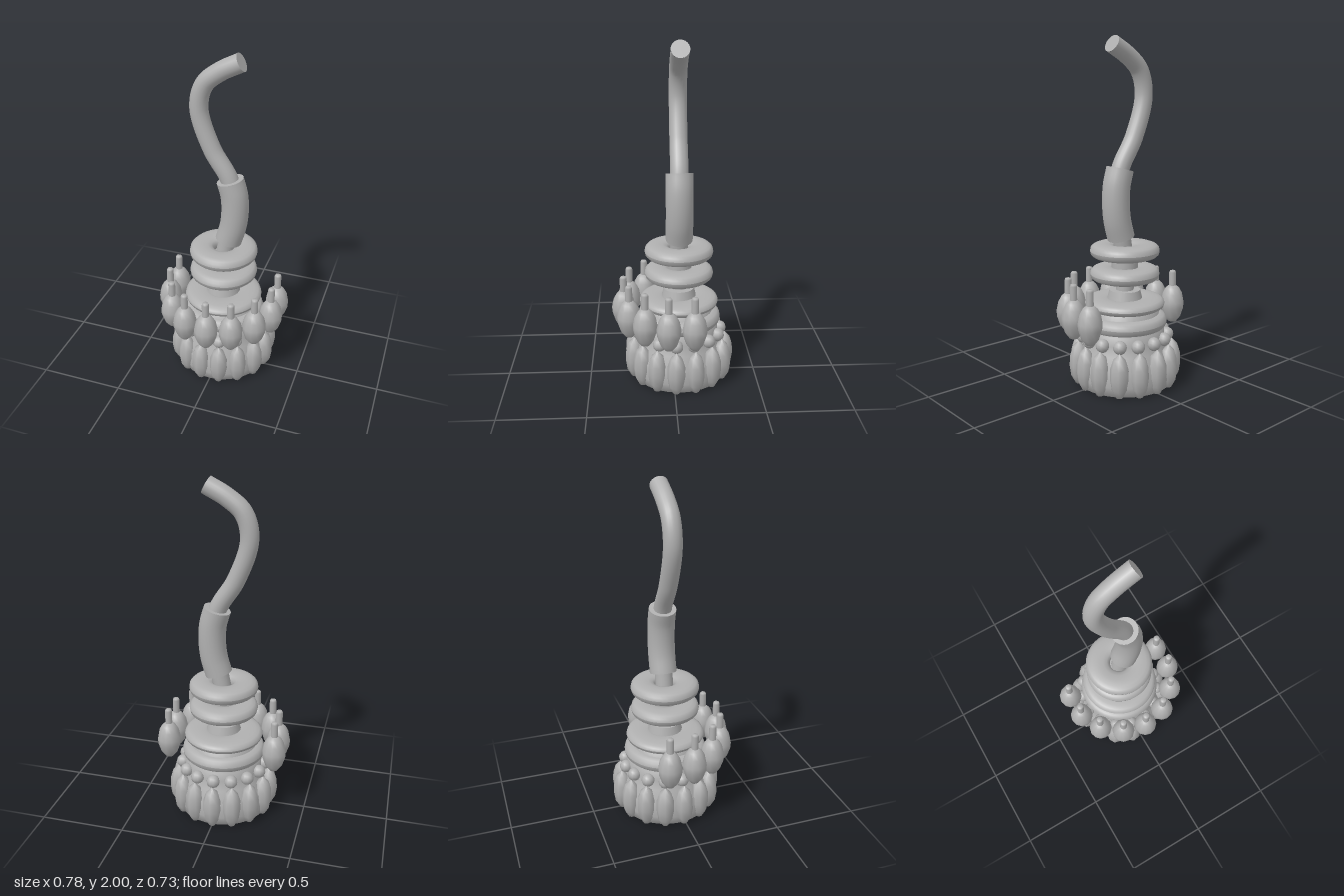
import * as THREE from 'three';

export function createModel() {
  const metal = new THREE.MeshStandardMaterial({ color: 0xb0b0b0 });
  metal.name = 'grey';
  const model = new THREE.Group();
  model.name = 'model';
  const axis = new THREE.Group();
  axis.name = 'body';
  axis.position.z = -0.037;
  model.add(axis);

  const add = (name, geometry, x = 0, y = 0, z = 0) => {
    const mesh = new THREE.Mesh(geometry, metal);
    mesh.name = name;
    mesh.position.set(x, y, z);
    axis.add(mesh);
    return mesh;
  };
  const lathe = (points, sides) =>
    new THREE.LatheGeometry(points.map(([r, y]) => new THREE.Vector2(r, y)), sides);

  // Swollen ring with a rounded, slightly squared section
  const ring = (name, y, inner, outer, half) => {
    const points = [];
    const squash = (v) => Math.sign(v) * Math.abs(v) ** 0.8;
    for (let i = 0; i <= 16; i++) {
      const t = (i / 16) * Math.PI * 2;
      points.push([(inner + outer) / 2 + ((outer - inner) / 2) * squash(Math.cos(t)), half * squash(Math.sin(t))]);
    }
    add(name, lathe(points, 40), 0, y);
  };

  // Hollow base, open underneath
  add('base', lathe([
    [0, 0.22], [0.11, 0.2], [0.13, 0.06], [0.17, 0.03], [0.25, 0.003], [0.275, 0.003],
    [0.29, 0.06], [0.285, 0.15], [0.25, 0.22], [0.235, 0.28], [0.23, 0.33], [0.2, 0.36],
    [0.2, 0.48], [0.1, 0.5], [0, 0.5]], 40));

  // Petals and beads around the base
  const petal = lathe([[0, 0], [0.02, 0.002], [0.046, 0.05], [0.055, 0.11], [0.052, 0.17], [0.035, 0.225], [0, 0.26]], 8);
  const bead = new THREE.SphereGeometry(0.039, 10, 8);
  for (let i = 0; i < 15; i++) {
    const a = Math.PI + (i * Math.PI * 2) / 15;
    const s = Math.sin(a), c = Math.cos(a);
    add('petal', petal, 0.275 * s, 0, 0.275 * c).rotation.y = a;
    add('bead', bead, 0.248 * s, 0.285, 0.248 * c);
  }

  // Stacked rings and collars
  ring('lowerRing', 0.375, 0.1, 0.247, 0.046);
  ring('shoulderRing', 0.478, 0.07, 0.233, 0.034);
  ring('middleDisc', 0.653, 0.05, 0.202, 0.043);
  ring('upperDisc', 0.788, 0.055, 0.202, 0.043);
  add('collar', new THREE.CylinderGeometry(0.09, 0.105, 0.06, 24), 0, 0.525);
  add('spacer', new THREE.CylinderGeometry(0.077, 0.077, 0.09, 24), 0, 0.72);

  // Hanging bulbs around the front, each with a thin pin
  const bulb = lathe([[0, 0.305], [0.025, 0.312], [0.05, 0.345], [0.068, 0.4], [0.07, 0.435],
    [0.06, 0.485], [0.042, 0.518], [0.022, 0.535], [0, 0.538]], 12);
  const pin = lathe([[0.021, 0.51], [0.021, 0.615], [0.016, 0.626], [0, 0.627]], 12);
  for (let i = -4; i <= 4; i++) {
    const a = (i * Math.PI * 2) / 14;
    const x = 0.33 * Math.sin(a), z = 0.33 * Math.cos(a);
    add('bulb', bulb, x, 0, z);
    add('bulbPin', pin, x, 0, z);
  }

  // Bent rod and its sleeve, closed at the ends
  const bentTube = (name, path, radius, segments) => {
    const curve = new THREE.CatmullRomCurve3(path.map(([x, y]) => new THREE.Vector3(x, y, 0)));
    add(name, new THREE.TubeGeometry(curve, segments, radius, 20));
    for (const end of [0, 1]) {
      const p = curve.getPointAt(end);
      const out = curve.getTangentAt(end).multiplyScalar(end ? 1 : -1);
      const cap = add(name + 'End', new THREE.CircleGeometry(radius, 20), p.x, p.y, 0);
      cap.quaternion.setFromUnitVectors(new THREE.Vector3(0, 0, 1), out);
    }
  };
  bentTube('rod', [[0, 0.5], [0, 0.72], [0.025, 0.87], [0.067, 1.07], [0.035, 1.26], [-0.07, 1.44],
    [-0.143, 1.67], [-0.11, 1.81], [-0.02, 1.89], [0.095, 1.952]], 0.052, 70);
  bentTube('sleeve', [[0.03, 0.868], [0.058, 0.97], [0.068, 1.07], [0.062, 1.17], [0.037, 1.262]], 0.079, 20);

  return model;
}
